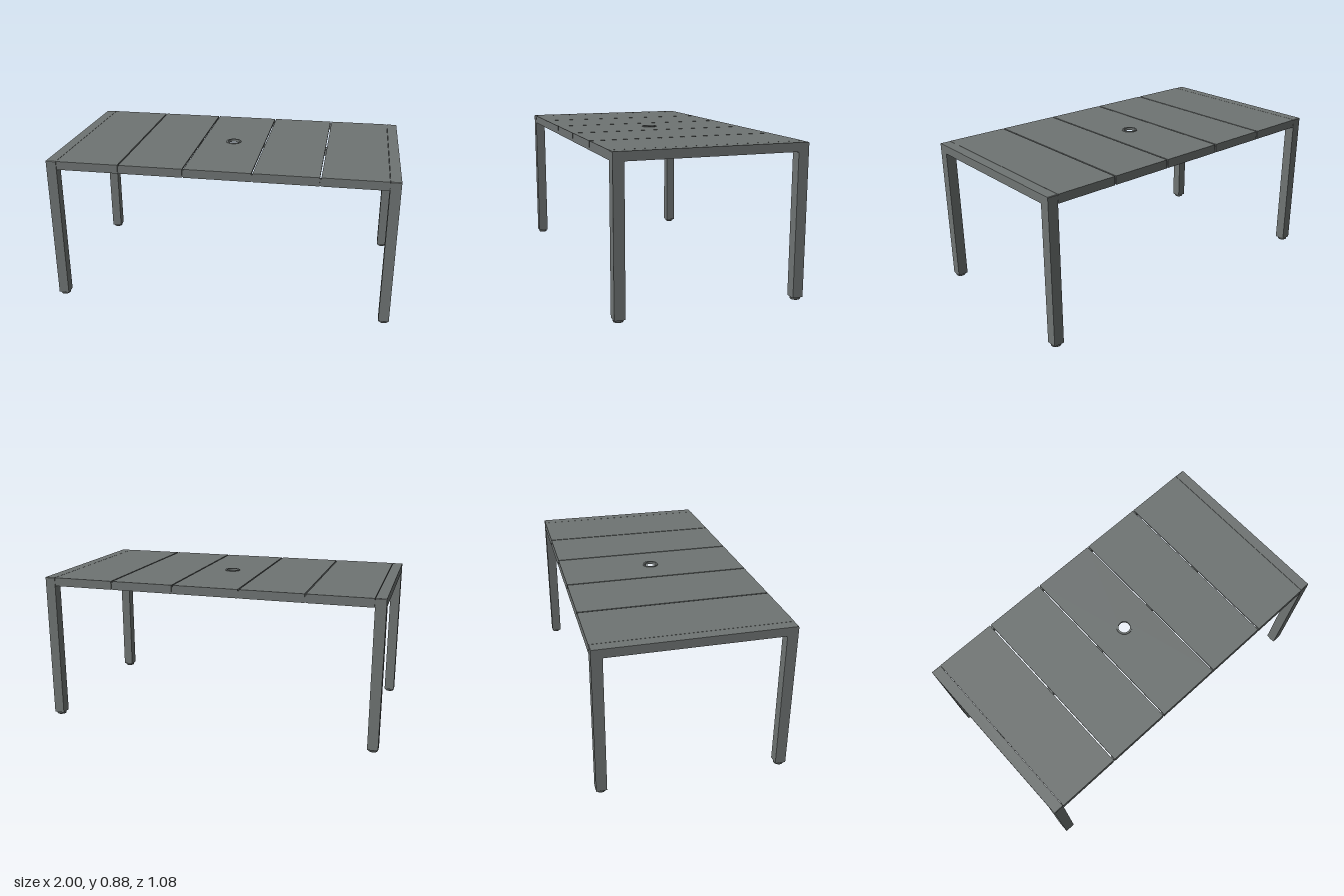
import * as THREE from 'three';

const TOP = 0.872;      // table surface height
const UNDER = 0.822;    // underside of beams and lips
const HALF_Z = 0.54;
const LEG = 0.06;       // leg thickness
const FOOT = 0.014;     // legs start here, above the levelling feet

export function createModel() {
  const metal = new THREE.MeshStandardMaterial({ color: 0x6f7473 });
  metal.name = 'grey metal';
  const table = new THREE.Group();
  table.name = 'table';

  const add = (name, geometry, x = 0, y = 0, z = 0) => {
    const mesh = new THREE.Mesh(geometry, metal);
    mesh.name = name;
    mesh.position.set(x, y, z);
    table.add(mesh);
    return mesh;
  };
  // Box given by its limits on each axis
  const box = (name, x0, x1, y0, y1, z0, z1) =>
    add(name, new THREE.BoxGeometry(x1 - x0, y1 - y0, z1 - z0),
      (x0 + x1) / 2, (y0 + y1) / 2, (z0 + z1) / 2);

  // End frames: two legs and a beam in one upside-down U
  const inner = HALF_Z - LEG;
  const frame = new THREE.Shape([
    [-HALF_Z, FOOT], [-inner, FOOT], [-inner, UNDER - 0.004], [-inner + 0.004, UNDER],
    [inner - 0.004, UNDER], [inner, UNDER - 0.004], [inner, FOOT], [HALF_Z, FOOT],
    [HALF_Z, TOP - 0.003], [HALF_Z - 0.003, TOP], [-HALF_Z + 0.003, TOP], [-HALF_Z, TOP - 0.003],
  ].map(([a, b]) => new THREE.Vector2(a, b)));
  const frameGeometry = new THREE.ExtrudeGeometry(frame, { depth: LEG, bevelEnabled: false });
  frameGeometry.rotateY(Math.PI / 2);

  // Levelling foot: a wide pad below a narrower neck
  const footGeometry = new THREE.LatheGeometry(
    [[0, 0], [0.025, 0], [0.028, 0.002], [0.028, 0.008], [0.016, 0.009], [0.016, FOOT]]
      .map(([r, y]) => new THREE.Vector2(r, y)), 16);
  footGeometry.deleteAttribute('normal');
  const flatFoot = footGeometry.toNonIndexed();
  flatFoot.computeVertexNormals();

  for (const side of [-1, 1]) {
    add(side > 0 ? 'leftEndFrame' : 'rightEndFrame', frameGeometry, side > 0 ? 1 - LEG : -1);
    for (const end of [-1, 1]) add('foot', flatFoot, side * 0.97, 0, end * 0.51);
  }

  // Five top panels, the middle one with a round hole, each with folded lips
  const joints = [-0.942, -0.57, -0.195, 0.195, 0.57, 0.942];
  const gap = 0.004, sheet = 0.01, lip = 0.006;
  for (let i = 0; i < 5; i++) {
    const x0 = joints[i] + gap, x1 = joints[i + 1] - gap;
    const outline = new THREE.Shape();
    outline.moveTo(x0, -HALF_Z);
    outline.lineTo(x1, -HALF_Z);
    outline.lineTo(x1, HALF_Z);
    outline.lineTo(x0, HALF_Z);
    outline.closePath();
    if (i === 2) {
      const hole = new THREE.Path();
      hole.absarc(0, 0, 0.036, 0, Math.PI * 2, true);
      outline.holes.push(hole);
    }
    const panel = new THREE.ExtrudeGeometry(outline, { depth: sheet, bevelEnabled: false, curveSegments: 32 });
    panel.rotateX(-Math.PI / 2);
    add('topPanel', panel, 0, TOP - sheet);
    box('frontLip', x0, x1, UNDER, TOP - sheet, HALF_Z - lip, HALF_Z);
    box('backLip', x0, x1, UNDER, TOP - sheet, -HALF_Z, -HALF_Z + lip);
  }

  // Long rails behind the lips, and two short rails under the middle
  box('frontRail', -0.94, 0.94, UNDER + 0.002, TOP - sheet, 0.515, HALF_Z - lip);
  box('backRail', -0.94, 0.94, UNDER + 0.002, TOP - sheet, -HALF_Z + lip, -0.515);
  box('leftMiddleRail', 0.19, 0.94, UNDER + 0.002, TOP - sheet, -0.024, 0.024);
  box('rightMiddleRail', -0.94, -0.19, UNDER + 0.002, TOP - sheet, -0.024, 0.024);

  // Parasol hole collar
  const collar = new THREE.Shape();
  collar.absarc(0, 0, 0.046, 0, Math.PI * 2, false);
  const bore = new THREE.Path();
  bore.absarc(0, 0, 0.035, 0, Math.PI * 2, true);
  collar.holes.push(bore);
  const collarGeometry = new THREE.ExtrudeGeometry(collar, { depth: 0.016, bevelEnabled: false, curveSegments: 32 });
  collarGeometry.rotateX(-Math.PI / 2);
  add('holeCollar', collarGeometry, 0, TOP - 0.012);

  return table;
}
